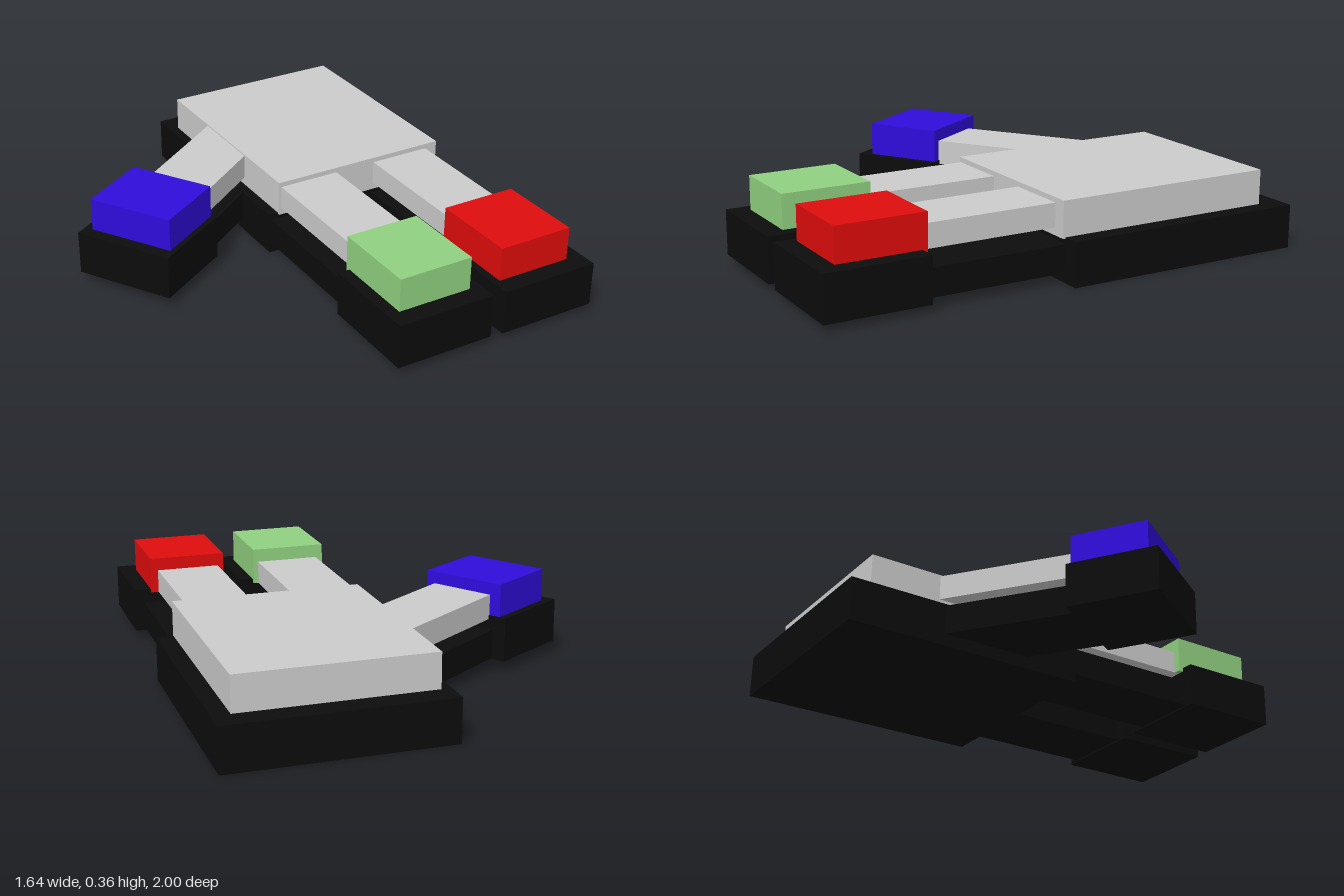
import * as THREE from 'three';

const material = (color) => new THREE.MeshStandardMaterial({ color, flatShading: true });

export function createModel() {
  const model = new THREE.Group();
  model.name = 'blockHand';
  const grey = material(0xcccccc);
  const black = material(0x0c0c0c);
  const green = material(0x90d080);
  const red = material(0xdf0c0c);
  const blue = material(0x300cdc);

  // Box from its [min, max] range on each axis
  function block(name, mat, [x0, x1], [y0, y1], [z0, z1], parent = model) {
    const mesh = new THREE.Mesh(new THREE.BoxGeometry(x1 - x0, y1 - y0, z1 - z0), mat);
    mesh.position.set((x0 + x1) / 2, (y0 + y1) / 2, (z0 + z1) / 2);
    mesh.name = name;
    parent.add(mesh);
  }

  // Group turned about y, standing at x, z
  function turned(name, x, z, angle) {
    const group = new THREE.Group();
    group.name = name;
    group.position.set(x, 0, z);
    group.rotation.y = angle;
    model.add(group);
    return group;
  }

  // Palm on its dark base
  block('palmBase', black, [-0.06, 0.815], [0, 0.175], [-1, 0.01]);
  block('palm', grey, [-0.02, 0.745], [0.17, 0.315], [-0.9, 0.02]);

  // Two fingers, each floating above its base and ending in a coloured tip
  block('rightFingerBase', black, [-0.05, 0.25], [0.04, 0.15], [-0.1, 0.65]);
  block('rightFinger', grey, [-0.01, 0.25], [0.2, 0.295], [-0.1, 0.65]);
  block('rightFingertipBase', black, [-0.09, 0.32], [0.035, 0.215], [0.585, 1]);
  block('rightFingertip', green, [-0.04, 0.27], [0.2, 0.35], [0.565, 0.92]);

  block('leftFingerBase', black, [0.43, 0.75], [0.04, 0.15], [-0.1, 0.65]);
  block('leftFinger', grey, [0.43, 0.69], [0.2, 0.295], [-0.1, 0.65]);
  block('leftFingertipBase', black, [0.375, 0.79], [0.03, 0.21], [0.585, 1]);
  block('leftFingertip', red, [0.405, 0.72], [0.2, 0.347], [0.565, 0.923]);

  // Thumb, running out of the side of the palm
  const thumb = turned('thumb', -0.018, -0.438, 0.618);
  block('thumbBase', black, [-0.5, 0.2], [0.05, 0.168], [-0.153, 0.153], thumb);
  block('thumbShaft', grey, [-0.5, 0.2], [0.21, 0.31], [-0.135, 0.135], thumb);
  const tipBase = turned('thumbTipBase', -0.557, -0.08, 0.555);
  block('thumbTipBlockBase', black, [-0.182, 0.182], [0.048, 0.226], [-0.206, 0.206], tipBase);
  const tip = turned('thumbTip', -0.535, -0.088, 0.565);
  block('thumbTipBlock', blue, [-0.154, 0.154], [0.21, 0.36], [-0.178, 0.178], tip);

  return model;
}
